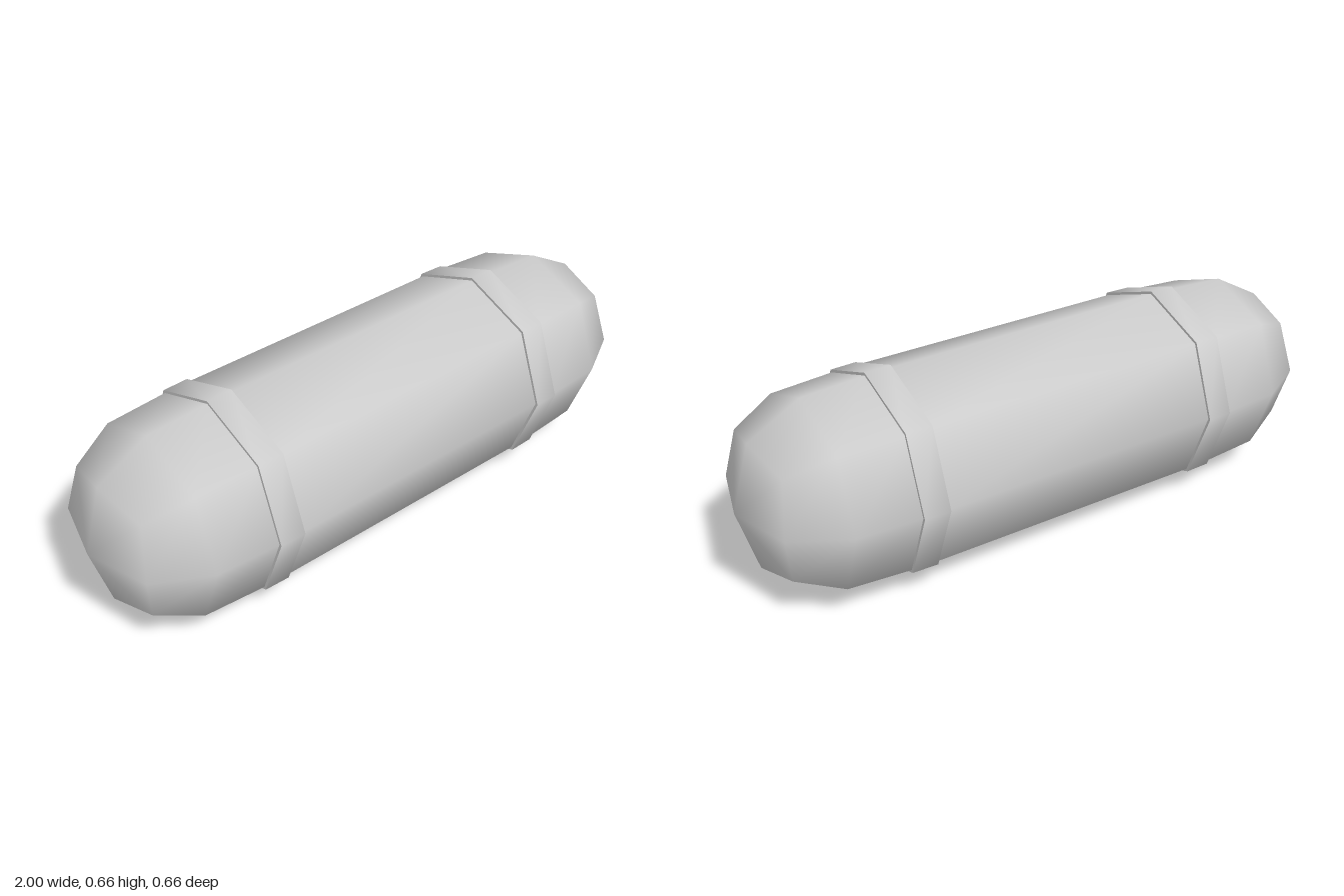
import * as THREE from 'three';
import { mergeVertices, mergeGeometries } from 'three/addons/utils/BufferGeometryUtils.js';

const SIDES = 8;
const CENTRE_Y = 0.328;
const material = new THREE.MeshStandardMaterial({ color: 0xcccccc });

// Skin octagonal rings along x. Ring: [x, radius on the axes, diagonal x, diagonal radius]
function loft(rings) {
  const pos = [], index = [];
  for (const [x, r, dx = x, dr = r * 1.024] of rings) {
    for (let i = 0; i < SIDES; i++) {
      const a = (i / SIDES) * Math.PI * 2, diagonal = i % 2 === 1;
      const radius = diagonal ? dr : r;
      pos.push(diagonal ? dx : x, Math.cos(a) * radius, Math.sin(a) * radius);
    }
  }
  for (let k = 0; k < rings.length - 1; k++) {
    for (let i = 0; i < SIDES; i++) {
      const j = (i + 1) % SIDES;
      const a = k * SIDES + i, b = k * SIDES + j, c = a + SIDES, d = b + SIDES;
      if (rings[k][1] > 0) index.push(a, b, c);
      if (rings[k + 1][1] > 0) index.push(b, d, c);
    }
  }
  const g = new THREE.BufferGeometry();
  g.setAttribute('position', new THREE.Float32BufferAttribute(pos, 3));
  g.setIndex(index);
  const merged = mergeVertices(g);
  merged.computeVertexNormals();
  return merged;
}

function addPart(group, name, geometry) {
  const mesh = new THREE.Mesh(geometry, material);
  mesh.name = name;
  mesh.position.y = CENTRE_Y;
  group.add(mesh);
}

export function createModel() {
  const group = new THREE.Group();
  group.name = 'capsule';

  // Smooth body with rounded ends
  const half = [
    [0.5, 0.319],
    [0.565, 0.317],
    [0.77, 0.305],
    [0.94, 0.21, 0.912, 0.238],
    [1, 0],
  ];
  const mirrored = half.map(([x, r, dx = x, dr]) => [-x, r, -dx, dr]).reverse();
  addPart(group, 'body', loft([...mirrored, ...half]));

  // Raised bands with crisp edges, slightly wider on the inner side
  for (const side of [-1, 1]) {
    const profile = [[0.565, 0.31], [0.565, 0.326], [0.48, 0.328], [0.48, 0.31]]
      .map(([x, r]) => [x * side, r]);
    if (side > 0) profile.reverse();
    const walls = [0, 1, 2].map((i) => loft([profile[i], profile[i + 1]]));
    addPart(group, side > 0 ? 'leftBand' : 'rightBand', mergeGeometries(walls));
  }
  return group;
}
